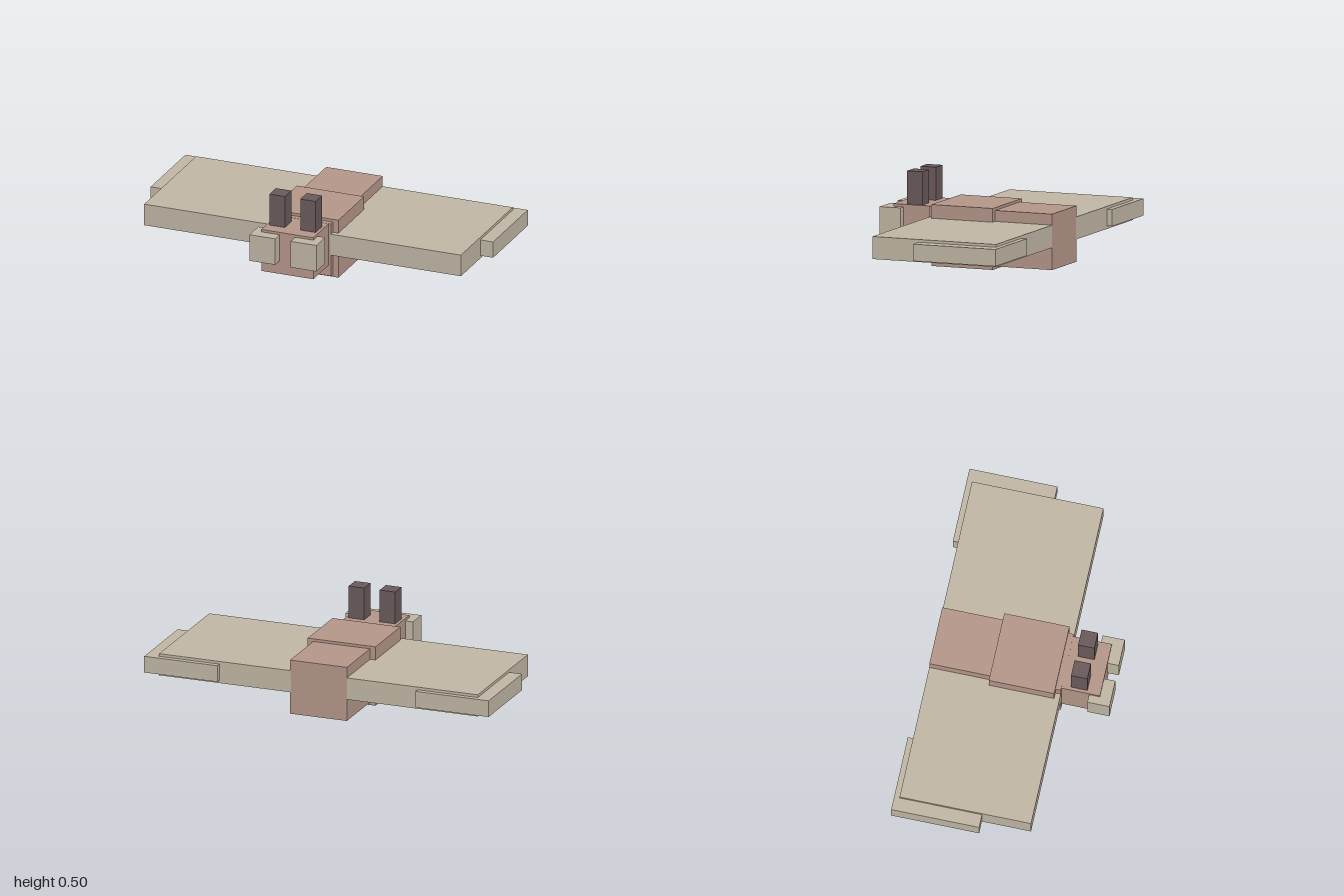
import * as THREE from 'three';

export function createModel() {
  const model = new THREE.Group();
  model.name = 'wingedCreature';

  const material = (name, color) => {
    const m = new THREE.MeshStandardMaterial({ color });
    m.name = name;
    return m;
  };
  const pink = material('dustyPink', 0xb59689);
  const beige = material('beige', 0xc0b6a4);
  const dark = material('darkBrown', 0x695a5a);

  // Box given by its limits on each axis
  const box = (name, mat, [x0, x1], [y0, y1], [z0, z1]) => {
    const mesh = new THREE.Mesh(new THREE.BoxGeometry(x1 - x0, y1 - y0, z1 - z0), mat);
    mesh.position.set((x0 + x1) / 2, (y0 + y1) / 2, (z0 + z1) / 2);
    mesh.name = name;
    model.add(mesh);
  };
  // Same box on both sides of the body
  const pair = (name, mat, [x0, x1], y, z) => {
    box('left' + name, mat, [x0, x1], y, z);
    box('right' + name, mat, [-x1, -x0], y, z);
  };

  // Body, raised middle band and head
  box('body', pink, [-0.165, 0.165], [0.015, 0.32], [-0.485, 0.24]);
  box('middleBand', pink, [-0.197, 0.197], [0, 0.335], [-0.15, 0.21]);
  box('head', pink, [-0.152, 0.152], [0.077, 0.319], [0.23, 0.453]);

  // Eyes and antennae
  pair('Eye', beige, [0.045, 0.196], [0.153, 0.305], [0.393, 0.515]);
  pair('Antenna', dark, [0.045, 0.135], [0.3, 0.5], [0.29, 0.38]);

  // Wings and their rear outer corners
  pair('Wing', beige, [0.16, 0.925], [0.137, 0.26], [-0.485, 0.24]);
  pair('WingTip', beige, [0.575, 1], [0.153, 0.245], [-0.515, -0.03]);

  return model;
}
